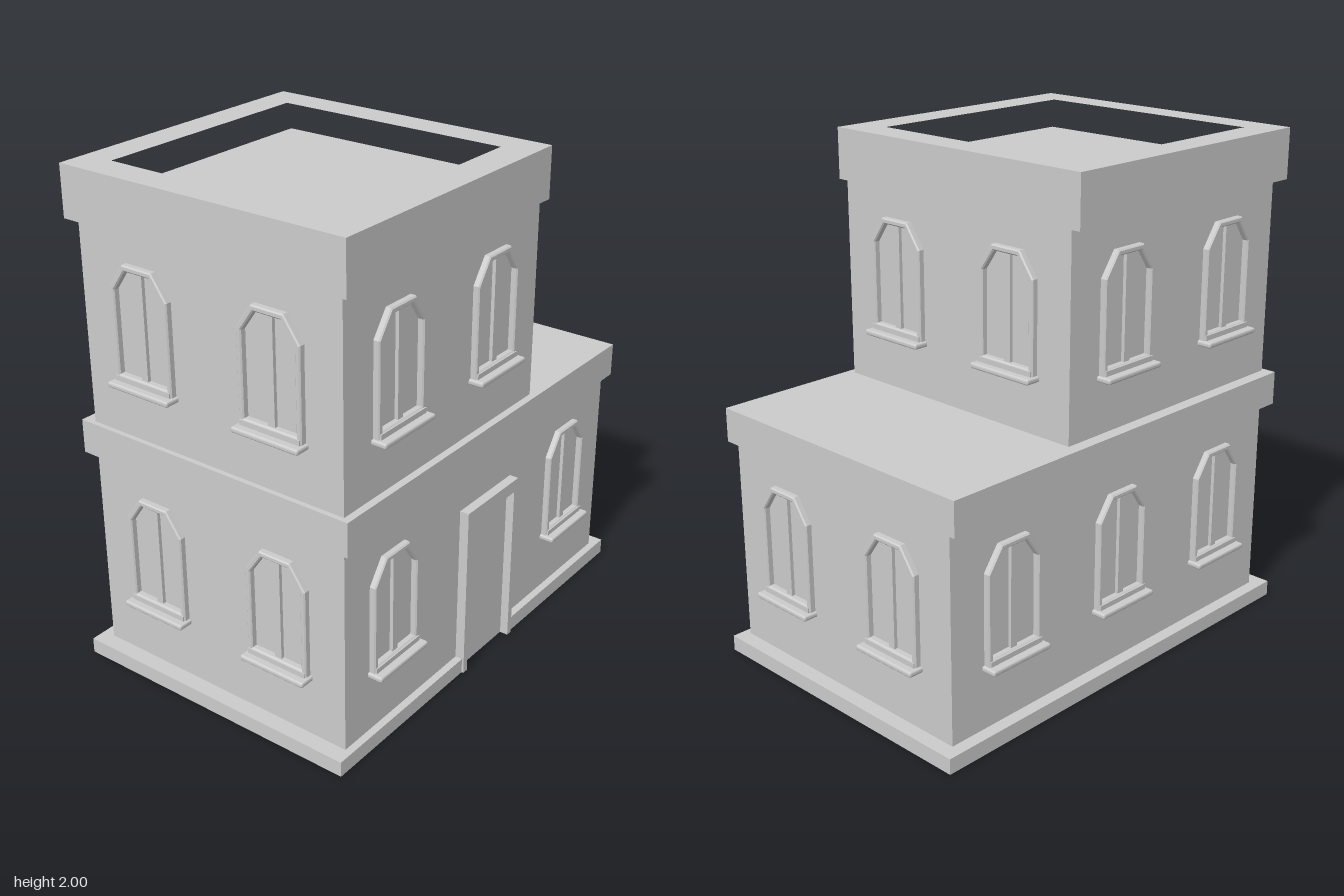
import * as THREE from 'three';
import { RoundedBoxGeometry } from 'three/addons/geometries/RoundedBoxGeometry.js';

const material = new THREE.MeshStandardMaterial({ color: 0xcccccc, flatShading: true });

function mesh(name, geometry) {
  const m = new THREE.Mesh(geometry, material);
  m.name = name;
  return m;
}

// Box given by its limits on each axis
function block(name, x0, x1, y0, y1, z0, z1) {
  const m = mesh(name, new THREE.BoxGeometry(x1 - x0, y1 - y0, z1 - z0));
  m.position.set((x0 + x1) / 2, (y0 + y1) / 2, (z0 + z1) / 2);
  return m;
}

const outline = (points) => points.map(([x, y]) => new THREE.Vector2(x, y));

// Plan outline (x, z) raised from y0 to y1
function slab(name, points, holePoints, y0, y1) {
  const shape = new THREE.Shape(outline(points.map(([x, z]) => [x, -z])));
  if (holePoints) shape.holes.push(new THREE.Path(outline(holePoints.map(([x, z]) => [x, -z]))));
  const g = new THREE.ExtrudeGeometry(shape, { depth: y1 - y0, bevelEnabled: false });
  g.rotateX(-Math.PI / 2);
  g.translate(0, y0, 0);
  return mesh(name, g);
}

const rect = (x0, x1, z0, z1) => [[x0, z0], [x1, z0], [x1, z1], [x0, z1]];

// Window outline with clipped upper corners
const arch = (w, bottom, shoulder, topW, top) =>
  outline([[-w, bottom], [w, bottom], [w, shoulder], [topW, top], [-topW, top], [-w, shoulder]]);

const frameShape = new THREE.Shape(arch(0.13, 0.025, 0.375, 0.066, 0.465));
frameShape.holes.push(new THREE.Path(arch(0.118, 0.042, 0.37, 0.06, 0.453)));
const frameGeometry = new THREE.ExtrudeGeometry(frameShape, {
  depth: 0.03, bevelThickness: 0.005, bevelSize: 0.005, bevelSegments: 1,
});
frameGeometry.translate(0, 0, -0.01);
const sillGeometry = new RoundedBoxGeometry(0.29, 0.022, 0.07, 2, 0.008);

// Window facing +z with the wall at z = 0 and the sill underside at y = 0
function makeWindow() {
  const g = new THREE.Group();
  g.name = 'window';
  const sill = mesh('windowSill', sillGeometry);
  sill.position.set(0, 0.011, 0.025);
  g.add(
    mesh('windowFrame', frameGeometry),
    sill,
    block('windowBottomRail', -0.13, 0.13, 0.02, 0.042, -0.01, 0.03),
    block('windowMullion', -0.015, 0.015, 0.04, 0.455, -0.01, 0.014),
  );
  return g;
}

export function createModel() {
  const model = new THREE.Group();
  model.name = 'house';

  // Plinth, notched at the doorway
  model.add(slab('plinth', [
    [-0.935, -0.63], [0.935, -0.63], [0.935, 0.61], [0.15, 0.61],
    [0.15, 0.575], [-0.145, 0.575], [-0.145, 0.61], [-0.935, 0.61],
  ], null, 0, 0.062));

  // Two storeys with their cornices
  model.add(
    block('lowerWalls', -0.87, 0.875, 0.05, 0.89, -0.58, 0.58),
    block('lowerCornice', -0.89, 0.9, 0.88, 1.015, -0.63, 0.61),
    block('upperWalls', -0.87, 0.293, 1.0, 1.86, -0.58, 0.58),
    slab('upperCornice', rect(-0.89, 0.307, -0.63, 0.61),
      rect(-0.765, 0.18, -0.505, 0.475), 1.8, 2),
  );

  // Door panel and surround
  const door = new THREE.Group();
  door.name = 'door';
  door.add(
    block('doorPanel', -0.145, 0.15, 0, 0.67, 0.56, 0.584),
    block('doorJambRight', -0.17, -0.145, 0, 0.665, 0.56, 0.618),
    block('doorJambLeft', 0.15, 0.175, 0, 0.665, 0.56, 0.618),
    block('doorLintel', -0.17, 0.175, 0.662, 0.713, 0.56, 0.618),
  );
  model.add(door);

  // Windows: wall position, facing angle and sill height
  const addWindow = (x, y, z, angle) => {
    const w = makeWindow();
    w.position.set(x, y, z);
    w.rotation.y = angle;
    model.add(w);
  };
  const low = 0.295, high = 1.22;
  for (const x of [-0.593, 0.582]) addWindow(x, low, 0.58, 0);
  for (const x of [-0.577, 0.003]) addWindow(x, high, 0.58, 0);
  for (const x of [-0.577, 0.003, 0.582]) addWindow(x, low, -0.58, Math.PI);
  for (const x of [-0.577, 0.003]) addWindow(x, high, -0.58, Math.PI);
  for (const z of [-0.29, 0.29]) {
    addWindow(0.875, low, z, Math.PI / 2);
    addWindow(0.293, high, z, Math.PI / 2);
    for (const y of [low, high]) addWindow(-0.87, y, z, -Math.PI / 2);
  }
  return model;
}
